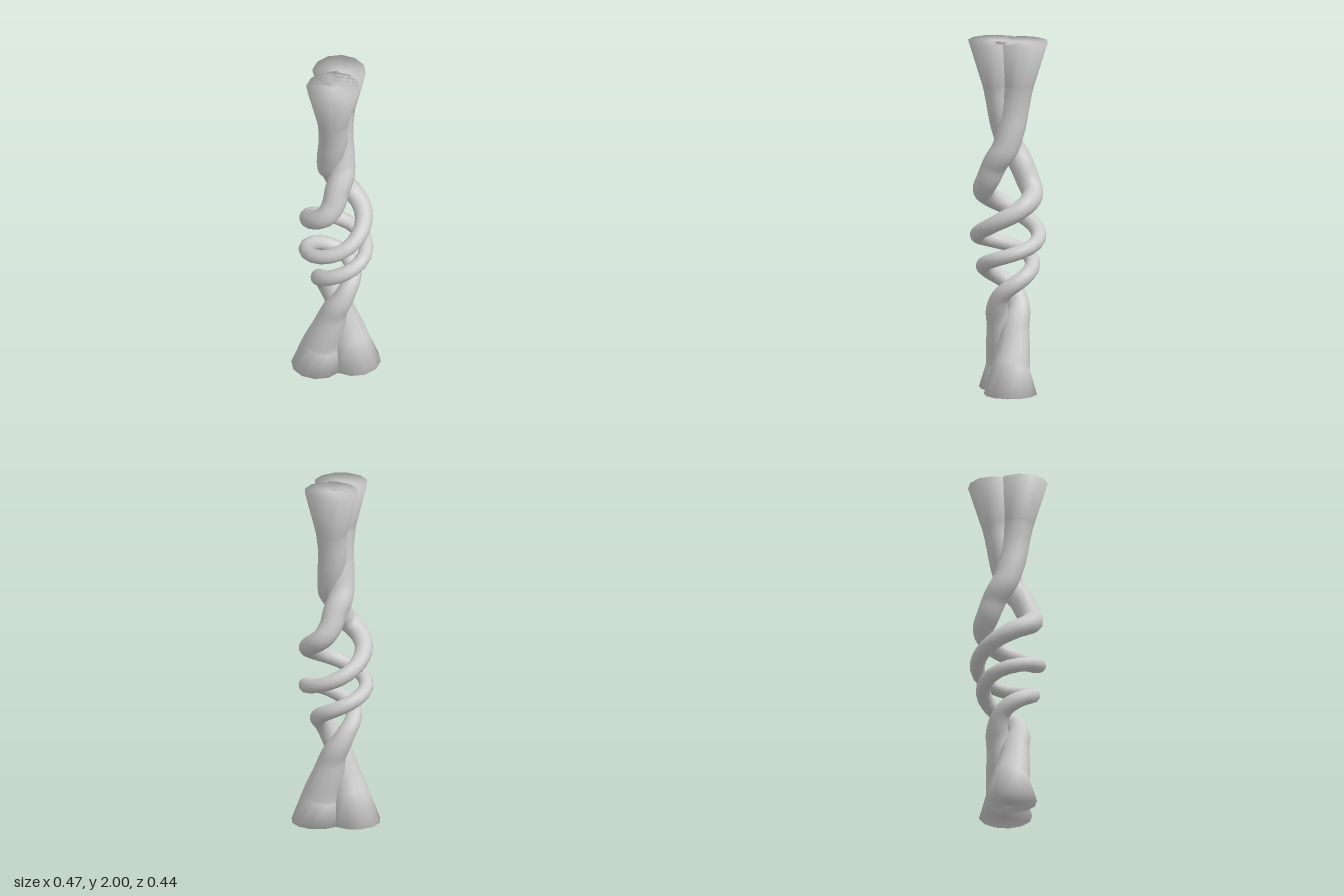
import * as THREE from 'three';

// Strand keys: height, angle in degrees, distance from axis, tube radius
const KEYS = [
  [0, -29, 0.103, 0.15],
  [0.15, -33, 0.083, 0.108],
  [0.36, -85, 0.045, 0.08],
  [0.48, -140, 0.068, 0.062],
  [0.57, -182, 0.085, 0.05],
  [0.68, -270, 0.125, 0.044],
  [0.78, -358, 0.165, 0.041],
  [0.86, -445, 0.175, 0.041],
  [0.99, -540, 0.157, 0.048],
  [1.13, -626, 0.152, 0.06],
  [1.2, -644, 0.115, 0.066],
  [1.3, -662, 0.074, 0.07],
  [1.4, -720, 0.036, 0.075],
  [1.55, -795, 0.034, 0.08],
  [1.75, -813, 0.058, 0.09],
  [2, -818, 0.076, 0.151],
];
const SIDES = 12;
const UP = new THREE.Vector3(0, 1, 0);

const keyCurve = new THREE.CubicInterpolant(
  KEYS.map((k) => k[0]),
  KEYS.flatMap((k) => k.slice(1)),
  3
);

// Centre and tube radius of the strand at a height
function strandAt(y) {
  const [deg, r, radius] = keyCurve.evaluate(y);
  const a = THREE.MathUtils.degToRad(deg);
  return { centre: new THREE.Vector3(r * Math.cos(a), y, r * Math.sin(a)), radius };
}

// Capped tube of varying radius; caps share the rim vertices for soft shading
function strandGeometry() {
  const heights = [0];
  for (let i = 0; i <= 88; i++) heights.push(0.15 + (1.6 * i) / 88);
  heights.push(2);
  const last = heights.length - 1;
  const points = [];
  const index = [];

  heights.forEach((y, i) => {
    const { centre, radius } = strandAt(y);
    const tangent = UP.clone();
    if (i > 0 && i < last) {
      tangent.subVectors(strandAt(y + 0.004).centre, strandAt(y - 0.004).centre).normalize();
    }
    const turn = new THREE.Quaternion().setFromUnitVectors(UP, tangent);
    for (let s = 0; s < SIDES; s++) {
      const a = ((s + 0.5) / SIDES) * Math.PI * 2;
      const p = new THREE.Vector3(Math.cos(a), 0, Math.sin(a)).multiplyScalar(radius);
      p.applyQuaternion(turn).add(centre);
      points.push(p);
      if (i < last) {
        const n = (s + 1) % SIDES;
        const b = i * SIDES;
        const t = b + SIDES;
        index.push(b + s, t + s, b + n, b + n, t + s, t + n);
      }
    }
  });

  // End caps
  const bottom = points.push(strandAt(0).centre) - 1;
  const top = points.push(strandAt(2).centre) - 1;
  for (let s = 0; s < SIDES; s++) {
    const n = (s + 1) % SIDES;
    index.push(bottom, s, n, top, last * SIDES + n, last * SIDES + s);
  }

  const geometry = new THREE.BufferGeometry().setFromPoints(points);
  geometry.setIndex(index);
  geometry.computeVertexNormals();
  return geometry;
}

export function createModel() {
  const group = new THREE.Group();
  group.name = 'twistedColumn';
  const grey = new THREE.MeshStandardMaterial({ color: 0xcccccc });
  grey.name = 'light grey';

  // Two identical strands, half a turn apart
  const geometry = strandGeometry();
  ['firstStrand', 'secondStrand'].forEach((name, i) => {
    const strand = new THREE.Mesh(geometry, grey);
    strand.name = name;
    strand.rotation.y = i * Math.PI;
    group.add(strand);
  });
  return group;
}
